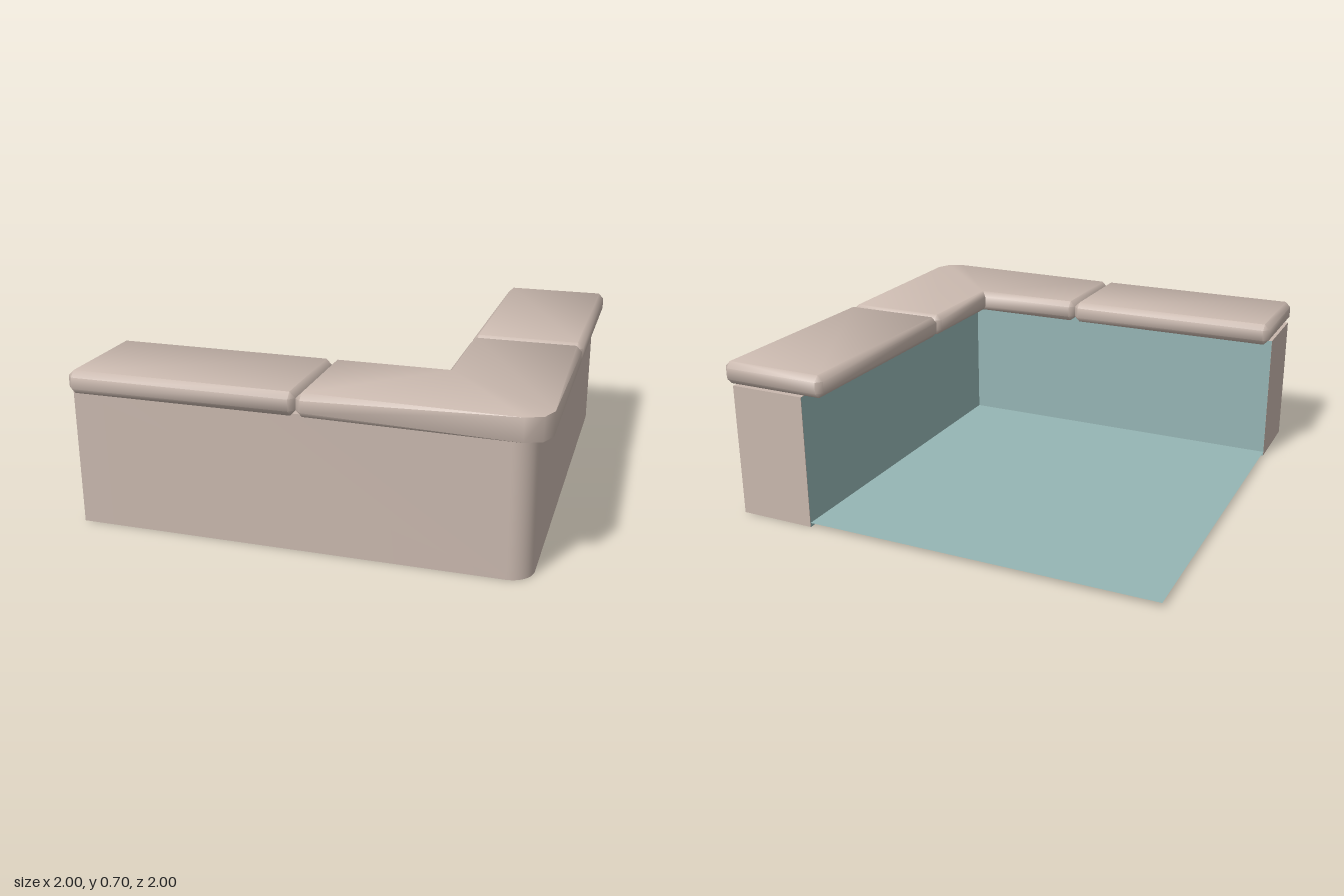
import * as THREE from 'three';
import { toCreasedNormals } from 'three/addons/utils/BufferGeometryUtils.js';

const stone = new THREE.MeshStandardMaterial({ color: 0xc9b8ae });
stone.name = 'warm stone';
const lining = new THREE.MeshStandardMaterial({ color: 0x95b5b4, side: THREE.DoubleSide });
lining.name = 'teal lining';

const BEVEL = 0.025, LOW = 0.6, HIGH = 0.7;

// Eight-point section from inner point to outer point; n points outward in plan
function section(inner, outer, n, innerBevel = BEVEL, outerBevel = BEVEL) {
  const at = (p, d, y) => new THREE.Vector3(p[0] + n[0] * d, y, p[1] + n[1] * d);
  return [
    at(inner, 0, LOW + innerBevel), at(inner, innerBevel, LOW),
    at(outer, -outerBevel, LOW), at(outer, 0, LOW + outerBevel),
    at(outer, 0, HIGH - outerBevel), at(outer, -outerBevel, HIGH),
    at(inner, innerBevel, HIGH), at(inner, 0, HIGH - innerBevel),
  ];
}

// Smaller rectangular section that closes a bevelled end
function endSection(inner, outer, n) {
  const at = (p, d, y) => new THREE.Vector3(p[0] + n[0] * d, y, p[1] + n[1] * d);
  const a = at(inner, BEVEL, LOW + BEVEL), b = at(outer, -BEVEL, LOW + BEVEL);
  const c = at(outer, -BEVEL, HIGH - BEVEL), d = at(inner, BEVEL, HIGH - BEVEL);
  return [a, a, b, b, c, c, d, d];
}

// Skin a row of sections and cap both ends
function loft(rings) {
  const pos = [];
  const tri = (a, b, c) => {
    const area = b.clone().sub(a).cross(c.clone().sub(a)).length();
    if (area > 1e-7) pos.push(...a.toArray(), ...b.toArray(), ...c.toArray());
  };
  for (let i = 0; i + 1 < rings.length; i++) {
    for (let j = 0; j < 8; j++) {
      const k = (j + 1) % 8, r = rings[i], s = rings[i + 1];
      tri(r[j], r[k], s[j]);
      tri(r[k], s[k], s[j]);
    }
  }
  const first = rings[0], last = rings[rings.length - 1];
  for (let j = 1; j < 7; j++) {
    tri(first[0], first[j + 1], first[j]);
    tri(last[0], last[j], last[j + 1]);
  }
  const geo = new THREE.BufferGeometry();
  geo.setAttribute('position', new THREE.Float32BufferAttribute(pos, 3));
  return toCreasedNormals(geo, 1.0);
}

// Sections across the side arm (at a z) and across the front arm (at an x)
const side = (z, make = section) => make([0.5, z], [1, z], [1, 0]);
const front = (x, make = section) => make([x, 0.5], [x, 1], [0, 1]);

export function createModel() {
  const group = new THREE.Group();
  const add = (name, geo, mat) => {
    const mesh = new THREE.Mesh(geo, mat);
    mesh.name = name;
    group.add(mesh);
    return mesh;
  };

  // L-shaped wall with a rounded outer corner (shape y becomes z)
  const plan = new THREE.Shape();
  plan.moveTo(-1, 0.6);
  plan.lineTo(0.6, 0.6);
  plan.lineTo(0.6, -1);
  plan.lineTo(0.95, -1);
  plan.lineTo(0.95, 0.85);
  plan.absarc(0.85, 0.85, 0.1, 0, Math.PI / 2, false);
  plan.lineTo(-1, 0.95);
  plan.closePath();
  const wall = new THREE.ExtrudeGeometry(plan, { depth: LOW, bevelEnabled: false, curveSegments: 5 });
  wall.rotateX(Math.PI / 2).translate(0, LOW, 0);
  add('wall', toCreasedNormals(wall, 0.6), stone);

  // Teal lining on the inner wall faces and the floor
  const liner = new THREE.PlaneGeometry(1.6, LOW);
  const frontLining = add('frontWallLining', liner, lining);
  frontLining.rotation.y = Math.PI;
  frontLining.position.set(-0.2, LOW / 2, 0.598);
  const sideLining = add('sideWallLining', liner, lining);
  sideLining.rotation.y = -Math.PI / 2;
  sideLining.position.set(0.598, LOW / 2, -0.2);
  const floor = add('floor', new THREE.PlaneGeometry(1.6, 1.6), lining);
  floor.rotation.x = -Math.PI / 2;
  floor.position.set(-0.2, 0.02, -0.2);

  // Straight coping slabs
  add('sideCoping', loft([
    side(-1, endSection), side(-1 + BEVEL), side(-BEVEL), side(0, endSection),
  ]), stone);
  add('frontCoping', loft([
    front(0, endSection), front(-BEVEL), front(-1 + BEVEL), front(-1, endSection),
  ]), stone);

  // Corner coping: the outer bevel fades to a square rim around the corner
  const bend = [[1, 0.9], [0.97, 0.97], [0.9, 1]]
    .map((p) => section([0.5, 0.5], p, [1, 1], BEVEL, 0));
  add('cornerCoping', loft([
    side(0, endSection), side(BEVEL), ...bend, front(BEVEL), front(0, endSection),
  ]), stone);

  return group;
}
